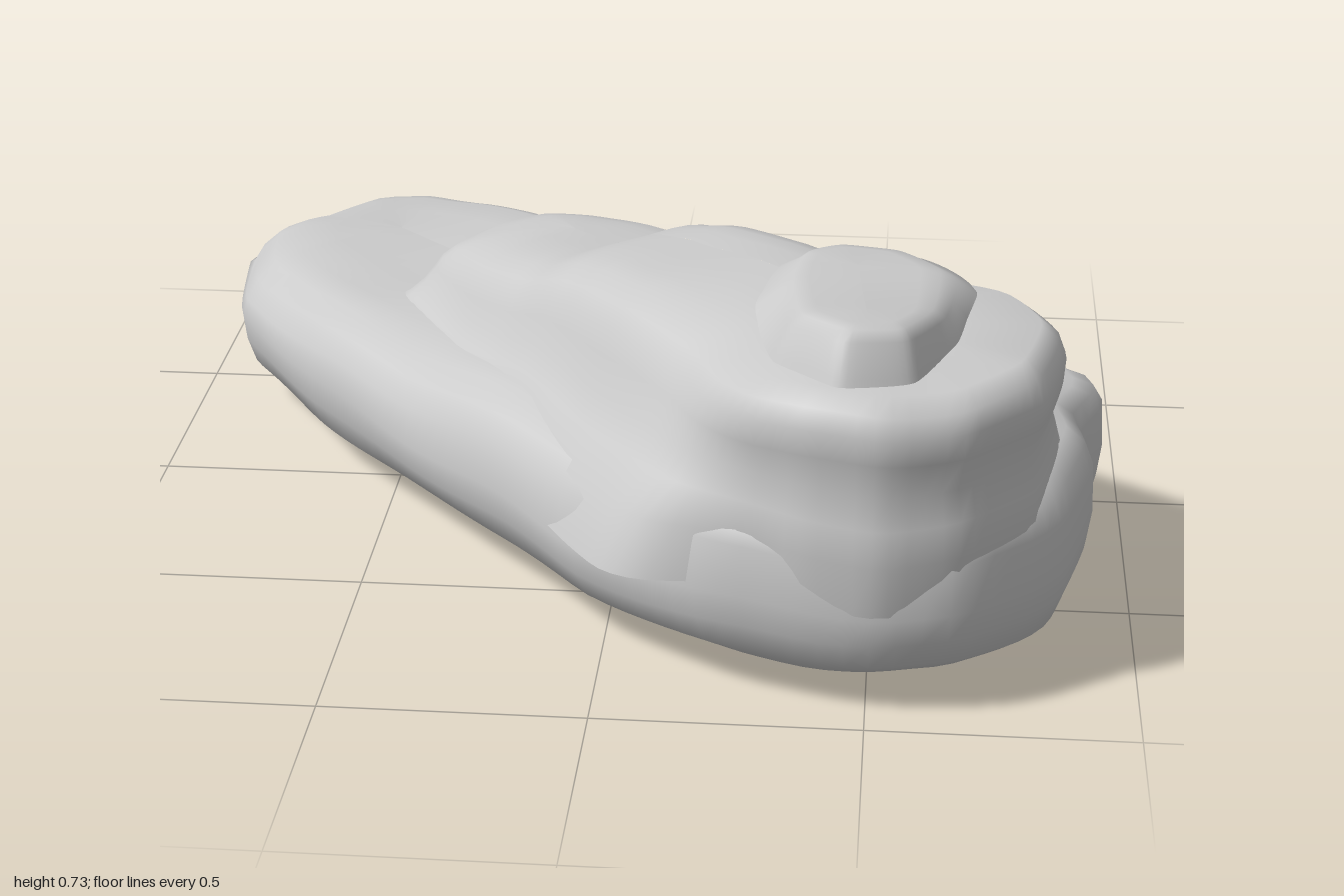
import * as THREE from 'three';

const SEGMENTS = 120;
const material = new THREE.MeshStandardMaterial({ color: 0xcccccc, roughness: 0.9 });

// Height along a list of [position, y] stops
function ramp(stops, s) {
  if (s <= stops[0][0]) return stops[0][1];
  for (let i = 1; i < stops.length; i++) {
    const [a, ya] = stops[i - 1], [b, yb] = stops[i];
    if (s <= b) return ya + (yb - ya) * (s - a) / (b - a);
  }
  return stops[stops.length - 1][1];
}

// Gentle weathering
const lump = (x, y, z) =>
  Math.sin(9 * x + 5 * z + 4 * y) * Math.sin(7 * z - 6 * x + 9 * y + 1) * 0.01;

const valueAt = (v, x, z) => (typeof v === 'number' ? v : v(x, z));

// Closed loft: each ring pulls the outline towards a spine by t(x, z), at height y(x, z)
function rock(name, outline, spine, rings) {
  const curve = new THREE.CatmullRomCurve3(
    outline.map(([x, z]) => new THREE.Vector3(x, 0, z)), true, 'catmullrom', 0.25);
  const points = curve.getSpacedPoints(SEGMENTS).slice(0, SEGMENTS);
  const line = new THREE.Line3(
    new THREE.Vector3(spine[0][0], 0, spine[0][1]), new THREE.Vector3(spine[1][0], 0, spine[1][1]));
  const position = [], index = [], near = new THREE.Vector3(), p = new THREE.Vector3();
  rings.forEach(([pull, height], r) => {
    points.forEach((o, j) => {
      line.closestPointToPoint(o, true, near);
      p.lerpVectors(o, near, valueAt(pull, o.x, o.z));
      const y = valueAt(height, p.x, p.z);
      position.push(p.x, Math.max(0, y + lump(p.x, y, p.z)), p.z);
      if (r < rings.length - 1) {
        const a = r * SEGMENTS + j, b = r * SEGMENTS + (j + 1) % SEGMENTS;
        index.push(a, b, b + SEGMENTS, a, b + SEGMENTS, a + SEGMENTS);
      }
    });
  });
  const geometry = new THREE.BufferGeometry();
  geometry.setAttribute('position', new THREE.Float32BufferAttribute(position, 3));
  geometry.setIndex(index);
  geometry.computeVertexNormals();
  const mesh = new THREE.Mesh(geometry, material);
  mesh.name = name;
  return mesh;
}

// Ring inset that is wide on the flanks and tight at the steep front
const flank = (side, front) => (x, z) =>
  THREE.MathUtils.lerp(side, front, THREE.MathUtils.smoothstep(x + z, 0.8, 1.25));

export function createModel() {
  const group = new THREE.Group();
  group.name = 'rock';

  // Long slab with a rounded rim and a shallow keel
  const slabTop = (x, z) =>
    ramp([[-1.6, 0.305], [-1.2, 0.335], [-0.5, 0.36], [0.2, 0.385], [0.9, 0.405], [1.4, 0.4]], x + z);
  const below = (d) => (x, z) => slabTop(x, z) - d;
  group.add(rock('baseSlab', [
    [-0.57, -1], [-0.7, -0.98], [-0.82, -0.82], [-0.85, -0.77], [-0.92, -0.74], [-0.95, -0.68],
    [-0.9, -0.35], [-0.7, -0.03], [-0.45, 0.27], [-0.22, 0.53], [-0.07, 0.71], [0.05, 0.8],
    [0.2, 0.9], [0.38, 0.96], [0.52, 0.98], [0.67, 0.95], [0.8, 0.83], [0.86, 0.73],
    [0.92, 0.48], [0.9, 0.33], [0.95, 0.22], [0.94, 0.15], [0.87, 0.08], [0.6, -0.13],
    [0.2, -0.43], [0, -0.59], [-0.3, -0.81], [-0.5, -0.96],
  ], [[-0.58, -0.58], [0.5, 0.5]], [
    [1, 0.008], [0.7, 0.012], [0.5, 0.02], [0.3, 0.04], [0.17, 0.065], [0.07, 0.095],
    [0.02, 0.15], [0, 0.21], [flank(0.03, 0.01), below(0.09)], [flank(0.1, 0.05), below(0.047)],
    [flank(0.21, 0.14), below(0.016)], [0.35, slabTop], [0.6, slabTop], [1, slabTop],
  ]));

  // Upper mass with sloping flanks, rising in steps towards a blunt overhanging front
  const massTop = (x, z) => ramp([
    [-0.62, 0.48], [-0.35, 0.515], [-0.02, 0.54], [0.14, 0.595], [0.3, 0.625], [0.55, 0.64], [1.5, 0.645],
  ], x + z);
  const massAt = (f) => (x, z) => 0.33 + (massTop(x, z) - 0.33) * f;
  group.add(rock('upperMass', [
    [-0.27, -0.35], [-0.4, -0.29], [-0.48, -0.14], [-0.34, 0.12], [-0.18, 0.34], [-0.03, 0.58],
    [0.14, 0.81], [0.26, 0.9], [0.38, 0.97], [0.52, 1], [0.67, 0.95], [0.8, 0.81],
    [0.85, 0.56], [0.77, 0.41], [0.56, 0.22], [0.36, 0.08], [0.21, -0.02], [0.17, -0.15],
    [0.08, -0.25], [-0.1, -0.31],
  ], [[-0.14, -0.12], [0.5, 0.62]], [
    [flank(-0.3, 0.05), 0.22], [flank(-0.2, 0.01), 0.33], [flank(-0.04, 0.02), massAt(0.22)],
    [flank(0.05, 0.06), massAt(0.4)], [flank(0.12, 0.01), massAt(0.6)], [flank(0.17, 0), massAt(0.75)],
    [flank(0.25, 0.04), massAt(0.87)], [flank(0.38, 0.14), massAt(0.96)],
    [0.55, massAt(1)], [0.75, massAt(1.02)], [1, massAt(1.02)],
  ]));

  // Summit knob with a flat top
  const knobTop = (x, z) => ramp([[0.33, 0.685], [0.9, 0.728]], z);
  group.add(rock('summitKnob', [
    [0.42, 0.32], [0.34, 0.4], [0.31, 0.57], [0.34, 0.8], [0.44, 0.91],
    [0.56, 0.87], [0.63, 0.7], [0.65, 0.46], [0.55, 0.33],
  ], [[0.46, 0.48], [0.48, 0.76]], [
    [flank(-0.6, -0.25), 0.59], [flank(-0.25, -0.1), 0.645], [0.05, (x, z) => knobTop(x, z) - 0.022],
    [0.2, (x, z) => knobTop(x, z) - 0.005], [0.4, knobTop], [1, knobTop],
  ]));

  // Long fold running beside the ridge
  const foldTop = (x, z) => ramp([[0.2, 0.42], [0.65, 0.49], [1.3, 0.52]], x + z);
  const foldAt = (f) => (x, z) => 0.36 + (foldTop(x, z) - 0.36) * f;
  group.add(rock('rightFold', [
    [0.2, 0], [0.24, 0.1], [0.44, 0.32], [0.64, 0.5], [0.78, 0.62], [0.84, 0.55],
    [0.77, 0.39], [0.58, 0.22], [0.36, 0.06],
  ], [[0.28, 0.07], [0.76, 0.53]], [
    [-0.25, 0.34], [0.05, foldAt(0.4)], [0.3, foldAt(0.8)], [0.65, foldAt(0.97)], [1, foldTop],
  ]));

  return group;
}
